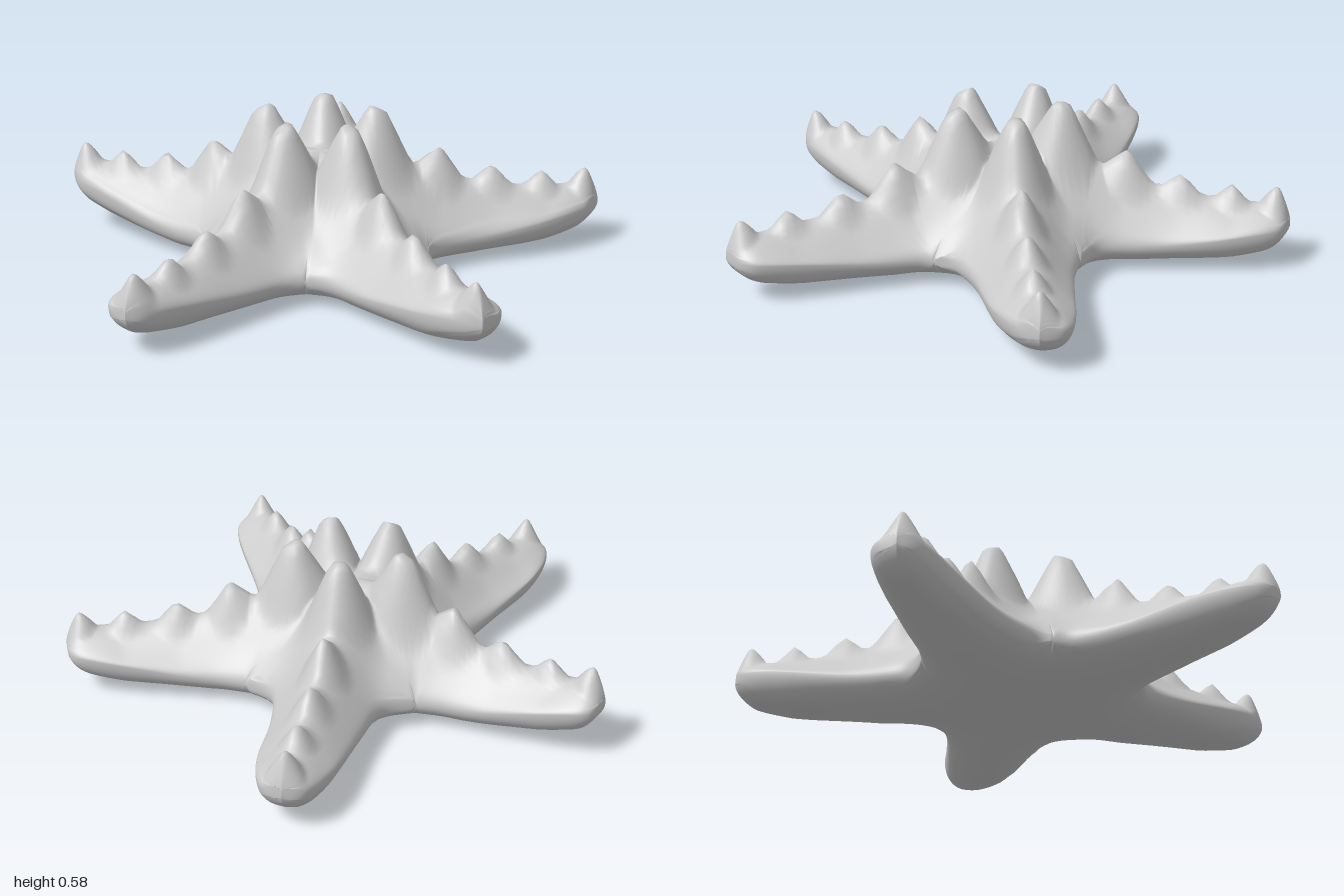
import * as THREE from 'three';
import { mergeVertices } from 'three/addons/utils/BufferGeometryUtils.js';

const CENTER = new THREE.Vector2(-0.03, 0.05);
const WEB_ROWS = 18, ARM_ROWS = 52, ACROSS = 28, ROWS = WEB_ROWS + ARM_ROWS;

// Outline of each arm as (x, z): two sides running from notch to tip.
// crown is the position of the arm's tallest spike, lift raises its tip.
const ARMS = [
  { lift: 0, crown: 0.185, tip: [-0.01, -0.98],
    a: [[0.3, -0.245], [0.19, -0.31], [0.15, -0.48], [0.13, -0.75], [0.08, -0.93]],
    b: [[-0.33, -0.255], [-0.22, -0.32], [-0.18, -0.48], [-0.14, -0.79], [-0.09, -0.94]] },
  { lift: 0.04, crown: 0.22, tip: [-1, -0.26],
    a: [[-0.33, -0.255], [-0.45, -0.26], [-0.62, -0.3], [-0.84, -0.35], [-0.95, -0.345]],
    b: [[-0.45, 0.21], [-0.47, 0.15], [-0.6, 0.06], [-0.8, -0.07], [-0.96, -0.18]] },
  { lift: 0, crown: 0.205, tip: [-0.6, 0.975],
    a: [[-0.45, 0.21], [-0.45, 0.29], [-0.52, 0.46], [-0.64, 0.71], [-0.67, 0.89]],
    b: [[-0.05, 0.52], [-0.14, 0.56], [-0.28, 0.7], [-0.43, 0.86], [-0.53, 0.95]] },
  { lift: 0, crown: 0.205, tip: [0.55, 0.975],
    a: [[-0.05, 0.52], [0.04, 0.55], [0.17, 0.68], [0.36, 0.87], [0.48, 0.95]],
    b: [[0.37, 0.27], [0.38, 0.34], [0.46, 0.52], [0.59, 0.78], [0.61, 0.89]] },
  { lift: 0, crown: 0.2, tip: [1, -0.19],
    a: [[0.37, 0.27], [0.39, 0.19], [0.52, 0.1], [0.78, 0], [0.94, -0.1]],
    b: [[0.3, -0.245], [0.42, -0.24], [0.6, -0.26], [0.84, -0.29], [0.95, -0.275]] },
];

// Spikes along every arm after the crown: position, height, base radius
const SPIKES = [[0.42, 0.1, 0.09], [0.61, 0.07, 0.075], [0.79, 0.065, 0.065], [0.955, 0.09, 0.07]];

// Ridge and underside heights along an arm
const RIDGE = [[0, 0.42], [0.185, 0.43], [0.3, 0.37], [0.42, 0.315], [0.61, 0.26], [0.8, 0.23], [1, 0.235]];
const BELLY = [[0, 0], [0.5, 0.01], [0.8, 0.04], [0.92, 0.065], [1, 0.09]];

const vec = ([x, z]) => new THREE.Vector2(x, z);
const { lerp, smoothstep } = THREE.MathUtils;

function profile(points, f) {
  let i = 1;
  while (i < points.length - 1 && points[i][0] < f) i++;
  const [p, q] = [points[i - 1], points[i]];
  return lerp(p[1], q[1], Math.min(1, (f - p[0]) / (q[0] - p[0])));
}

const spikes = ARMS.flatMap(({ tip, crown }) =>
  [[crown, 0.15, 0.13], ...SPIKES].map(([f, height, radius], i) => ({
    at: CENTER.clone().lerp(vec(tip), f), height, radius, blunt: i === 0 ? 1.35 : 1.1,
  })));

function spikeHeight(p) {
  let best = 0;
  for (const s of spikes) {
    const rise = Math.max(0, 1 - p.distanceTo(s.at) / s.radius) * s.blunt;
    best = Math.max(best, s.height * Math.min(1, rise));
  }
  return best;
}

// Distance from the nearest arm's centre line
function offRidge(p) {
  return Math.min(...ARMS.map(({ tip }) => {
    const axis = vec(tip).sub(CENTER).normalize();
    const to = p.clone().sub(CENTER);
    return to.dot(axis) < 0 ? to.length() : Math.abs(to.cross(axis));
  }));
}

// The pairs of side points that bound each row of an arm, from centre to tip
function armRows(arm) {
  const sides = [arm.a, arm.b].map((s) => new THREE.SplineCurve([...s, arm.tip].map(vec)));
  return Array.from({ length: ROWS + 1 }, (_, i) => {
    const u = 1 - Math.pow(1 - Math.max(0, (i - WEB_ROWS) / ARM_ROWS), 1.3);
    return i <= WEB_ROWS
      ? [arm.a, arm.b].map((s) => CENTER.clone().lerp(vec(s[0]), i / WEB_ROWS))
      : sides.map((s) => s.getPoint(u));
  });
}

// Rounds the body off towards its rim, over the given width
const rounding = (d, width) => Math.sqrt(1 - (1 - Math.min(1, d / width)) ** 2);

// Adds the top and underside of one arm with its share of the central body
function addArm(arm, rows, outline, positions, index) {
  const length = vec(arm.tip).distanceTo(CENTER);
  const upper = [], lower = [];
  rows.forEach(([left, right], i) => {
    const armLength = lerp(1.05, length, Math.max(0, (i - WEB_ROWS) / ARM_ROWS));
    for (let j = 0; j <= ACROSS; j++) {
      const v = Math.sin((j / ACROSS - 0.5) * Math.PI);
      const p = left.clone().lerp(right, (v + 1) / 2);
      const rim = i === ROWS || (i >= WEB_ROWS && (j === 0 || j === ACROSS));
      const d = rim ? 0 : Math.sqrt(outline.reduce((m, o) => Math.min(m, p.distanceToSquared(o)), 9));
      const f = Math.min(1, p.distanceTo(CENTER) / armLength);

      const outer = smoothstep(f, 0.48, 1);
      const edge = lerp(0.1, 0.16, outer);
      const width = lerp(0.25, 0.1, smoothstep(f, 0.25, 1));
      const valley = lerp(0.1, 0.05, outer) * smoothstep(offRidge(p), 0, 0.19);
      const round = rounding(d, width);
      const high = profile(RIDGE, f) - valley + spikeHeight(p);
      const low = profile(BELLY, f);
      const lift = arm.lift * outer;
      upper.push(p.x, lerp(edge, high, round) + lift, p.y);
      lower.push(p.x, lerp(edge, low, rounding(d, width * 0.75)) + lift, p.y);
    }
  });

  const stride = ACROSS + 1;
  for (const [side, isTop] of [[upper, true], [lower, false]]) {
    const start = positions.length / 3;
    side.forEach((n) => positions.push(n));
    for (let i = 0; i < ROWS; i++) {
      for (let j = 0; j < ACROSS; j++) {
        const a = start + i * stride + j, b = a + stride;
        if (isTop) index.push(a, b, a + 1, b, b + 1, a + 1);
        else index.push(a, a + 1, b, b, a + 1, b + 1);
      }
    }
  }
}

export function createModel() {
  const positions = [], index = [];
  const grids = ARMS.map(armRows);
  const outline = grids.flatMap((rows) => rows.slice(WEB_ROWS).flat());
  ARMS.forEach((arm, k) => addArm(arm, grids[k], outline, positions, index));

  // Weld the five arms into one smooth skin
  let geometry = new THREE.BufferGeometry();
  geometry.setAttribute('position', new THREE.Float32BufferAttribute(positions, 3));
  geometry.setIndex(index);
  geometry = mergeVertices(geometry, 1e-4);
  geometry.computeVertexNormals();

  const body = new THREE.Mesh(geometry, new THREE.MeshStandardMaterial({ color: 0xcccccc }));
  body.name = 'starfishBody';
  const group = new THREE.Group();
  group.name = 'starfish';
  group.add(body);
  return group;
}
